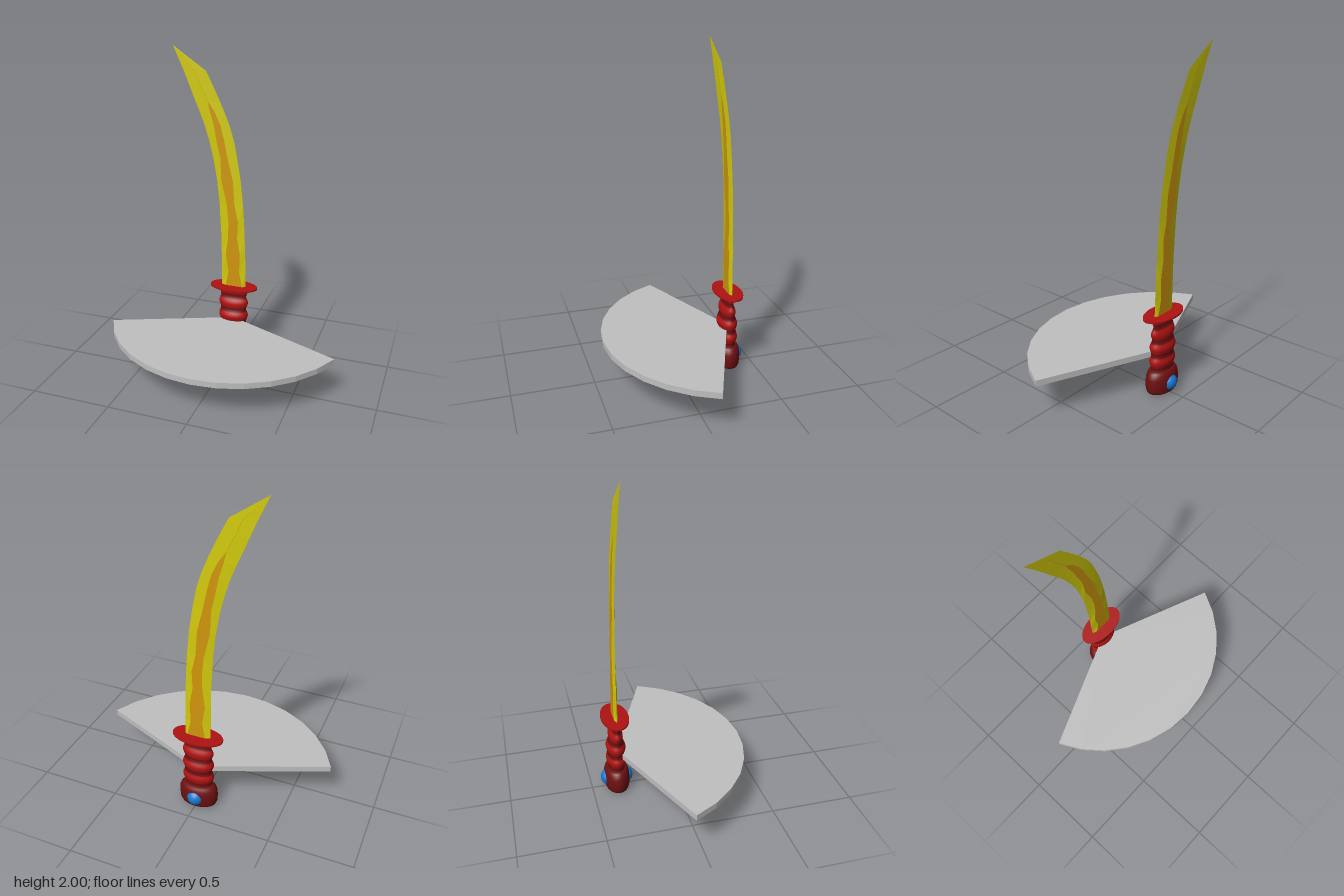
import * as THREE from 'three';

const mat = (name, color, side = THREE.FrontSide) => {
  const m = new THREE.MeshStandardMaterial({ color, side });
  m.name = name;
  return m;
};

// Smooth solid through stacked ellipses [y, rx, rz], with a material index per band
function ellipseLoft(rings, bandMaterial = () => 0, n = 40) {
  const pos = [], idx = [], geo = new THREE.BufferGeometry();
  rings.forEach(([y, rx, rz]) => {
    for (let i = 0; i < n; i++) {
      const a = (i / n) * Math.PI * 2;
      pos.push(Math.sin(a) * rx, y, Math.cos(a) * rz);
    }
  });
  for (let r = 0; r < rings.length - 1; r++) {
    geo.addGroup(idx.length, n * 6, bandMaterial(r));
    for (let i = 0; i < n; i++) {
      const a = r * n + i, b = r * n + (i + 1) % n;
      idx.push(a, b, b + n, a, b + n, a + n);
    }
  }
  geo.setAttribute('position', new THREE.Float32BufferAttribute(pos, 3));
  geo.setIndex(idx);
  geo.computeVertexNormals();
  return geo;
}

// Blade stations: y, left edge, band left, band right, right edge, half thickness
const BLADE = [
  [0.49, -0.08, -0.052, 0.062, 0.08, 0.012],
  [0.60, -0.082, -0.033, 0.038, 0.078, 0.0115],
  [0.72, -0.083, -0.052, 0.042, 0.074, 0.011],
  [0.83, -0.085, -0.037, 0.022, 0.069, 0.010],
  [0.94, -0.092, -0.037, 0.026, 0.063, 0.009],
  [1.05, -0.098, -0.048, 0.001, 0.055, 0.008],
  [1.20, -0.115, -0.085, -0.01, 0.039, 0.007],
  [1.34, -0.14, -0.092, -0.045, 0.015, 0.006],
  [1.45, -0.168, -0.118, -0.068, -0.007, 0.005],
  [1.54, -0.196, -0.135, -0.092, -0.035, 0.004],
  [1.62, -0.228, -0.16, -0.13, -0.068, 0.003],
  [1.68, -0.254, -0.174, -0.172, -0.095, 0.0025],
  [1.78, -0.295, -0.222, -0.22, -0.143, 0.002],
  [1.86, -0.328, -0.257, -0.255, -0.185, 0.001],
  [2.0, -0.392, -0.392, -0.392, -0.392, 0],
];

// One lengthwise strip of the blade between two cross-section columns, both faces
function bladeStrip(col) {
  const pos = [];
  for (const s of [1, -1]) {
    const point = (st, c) => [st[c], st[0], c === 1 || c === 4 ? 0 : s * st[5]];
    for (let i = 0; i < BLADE.length - 1; i++) {
      const a = point(BLADE[i], col), b = point(BLADE[i], col + 1);
      const c = point(BLADE[i + 1], col + 1), d = point(BLADE[i + 1], col);
      const tris = s > 0 ? [a, b, c, a, c, d] : [a, c, b, a, d, c];
      tris.forEach((p) => pos.push(...p));
    }
  }
  const geo = new THREE.BufferGeometry();
  geo.setAttribute('position', new THREE.Float32BufferAttribute(pos, 3));
  geo.computeVertexNormals();
  return geo;
}

export function createModel() {
  const red = mat('red', 0xb01212);
  const darkRed = mat('darkRed', 0x6e1010);
  const yellow = mat('yellow', 0xd2ca0c, THREE.DoubleSide);
  const orange = mat('orange', 0xd0960c, THREE.DoubleSide);
  const blue = mat('blue', 0x1478d0);
  const grey = mat('grey', 0xc0c0c0);

  const model = new THREE.Group();
  const sword = new THREE.Group();
  sword.name = 'sword';
  sword.position.z = -0.345;
  model.add(sword);
  const add = (parent, name, geo, material) => {
    const mesh = new THREE.Mesh(geo, material);
    mesh.name = name;
    parent.add(mesh);
    return mesh;
  };

  // Blade with its ragged central band
  add(sword, 'bladeRearEdge', bladeStrip(1), yellow);
  add(sword, 'bladeBand', bladeStrip(2), orange);
  add(sword, 'bladeFrontEdge', bladeStrip(3), yellow);

  // Oval guard
  const guard = add(sword, 'guard', new THREE.CylinderGeometry(1, 1, 0.01, 48), red);
  guard.scale.set(0.155, 1, 0.084);
  guard.position.y = 0.494;

  // Ribbed grip, flattening towards the guard
  const grip = [], steps = 48;
  const wave = (y) => Math.cos(((y - 0.295) / 0.09) * Math.PI * 2);
  for (let i = 0; i <= steps; i++) {
    const y = 0.13 + (i / steps) * 0.36;
    const depth = THREE.MathUtils.lerp(0.055, 0.026, THREE.MathUtils.smoothstep(y, 0.27, 0.47));
    grip.push([y, 0.091 + 0.006 * wave(y), depth + 0.005 * wave(y)]);
  }
  const inGroove = (r) => (wave((grip[r][0] + grip[r + 1][0]) / 2) < -0.55 ? 1 : 0);
  add(sword, 'grip', ellipseLoft(grip, inGroove), [red, darkRed]);

  // Rounded pommel
  const pommel = [
    [0.004, 0, 0], [0.004, 0.095, 0.06], [0.012, 0.109, 0.07], [0.03, 0.117, 0.076],
    [0.07, 0.12, 0.078], [0.105, 0.118, 0.076], [0.125, 0.111, 0.071],
    [0.14, 0.1, 0.064], [0.15, 0.088, 0.055], [0.15, 0, 0],
  ];
  add(sword, 'pommel', ellipseLoft(pommel), [darkRed]);

  // Gems on both faces of the pommel
  for (const s of [1, -1]) {
    const gem = add(sword, s > 0 ? 'frontGem' : 'backGem', new THREE.SphereGeometry(0.053, 32, 20), blue);
    gem.position.set(0, 0.07, s * 0.046);
  }

  // Fan-shaped slab spreading forward from the grip
  const fan = new THREE.Shape();
  fan.moveTo(0, 0);
  for (let i = 0; i <= 12; i++) {
    const a = THREE.MathUtils.degToRad(-67.5 + i * 11.25);
    fan.lineTo(Math.sin(a) * 0.786, -Math.cos(a) * 0.786);
  }
  const fanGeo = new THREE.ExtrudeGeometry(fan, { depth: 0.036, bevelEnabled: false });
  fanGeo.rotateX(-Math.PI / 2);
  add(model, 'fanSlab', fanGeo, grey).position.set(0, 0.23, -0.347);

  return model;
}
